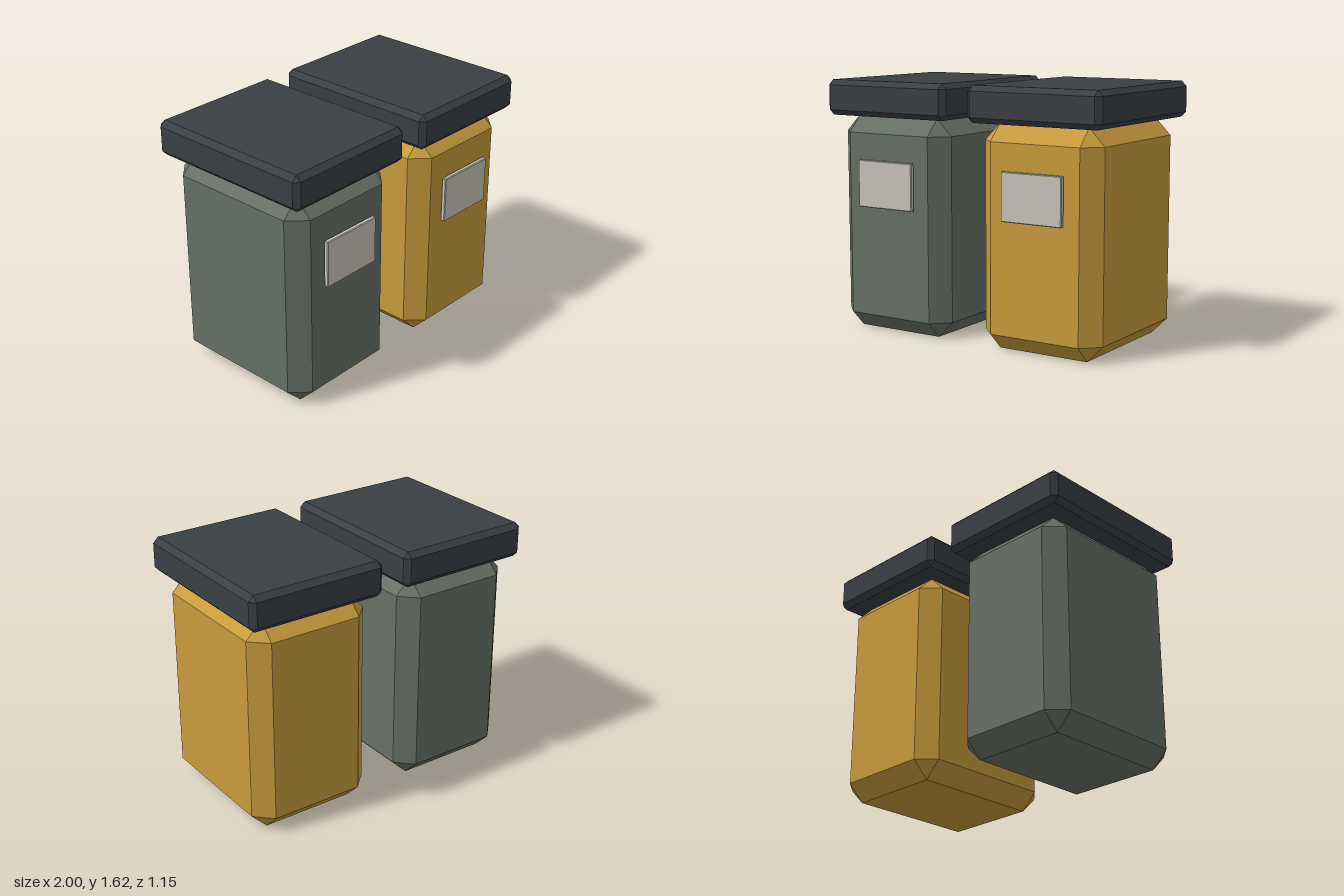
import * as THREE from 'three';
import { ConvexGeometry } from 'three/addons/geometries/ConvexGeometry.js';

// Box with flat 45 degree chamfers on every edge and triangular corners
function chamferBox(w, h, d, c) {
  const points = [];
  for (const x of [-1, 1]) for (const y of [-1, 1]) for (const z of [-1, 1]) {
    for (let face = 0; face < 3; face++) {
      const inset = [0, 1, 2].map((axis) => (axis === face ? 0 : c));
      points.push(new THREE.Vector3(
        x * (w / 2 - inset[0]), y * (h / 2 - inset[1]), z * (d / 2 - inset[2])));
    }
  }
  return new ConvexGeometry(points);
}

function addBox(parent, name, size, chamfer, position, color) {
  const material = new THREE.MeshStandardMaterial({ color, flatShading: true });
  const mesh = new THREE.Mesh(chamferBox(...size, chamfer), material);
  mesh.name = name;
  mesh.position.set(...position);
  parent.add(mesh);
}

// One bin: chamfered body, overhanging lid, thin front label
function makeBin(name, x, color) {
  const bin = new THREE.Group();
  bin.name = name;
  bin.position.x = x;
  addBox(bin, 'body', [0.825, 1.388, 1.055], 0.106, [0, 0.694, 0], color);
  addBox(bin, 'lid', [0.92, 0.226, 1.15], 0.034, [0, 1.502, 0], 0x3a3f44);
  addBox(bin, 'label', [0.418, 0.302, 0.03], 0.005, [0, 0.964, 0.553], 0xc8c4b8);
  return bin;
}

export function createModel() {
  const model = new THREE.Group();
  model.name = 'recyclingBins';
  model.add(makeBin('yellowBin', 0.54, 0xc89b3c), makeBin('greenBin', -0.54, 0x667066));
  return model;
}
